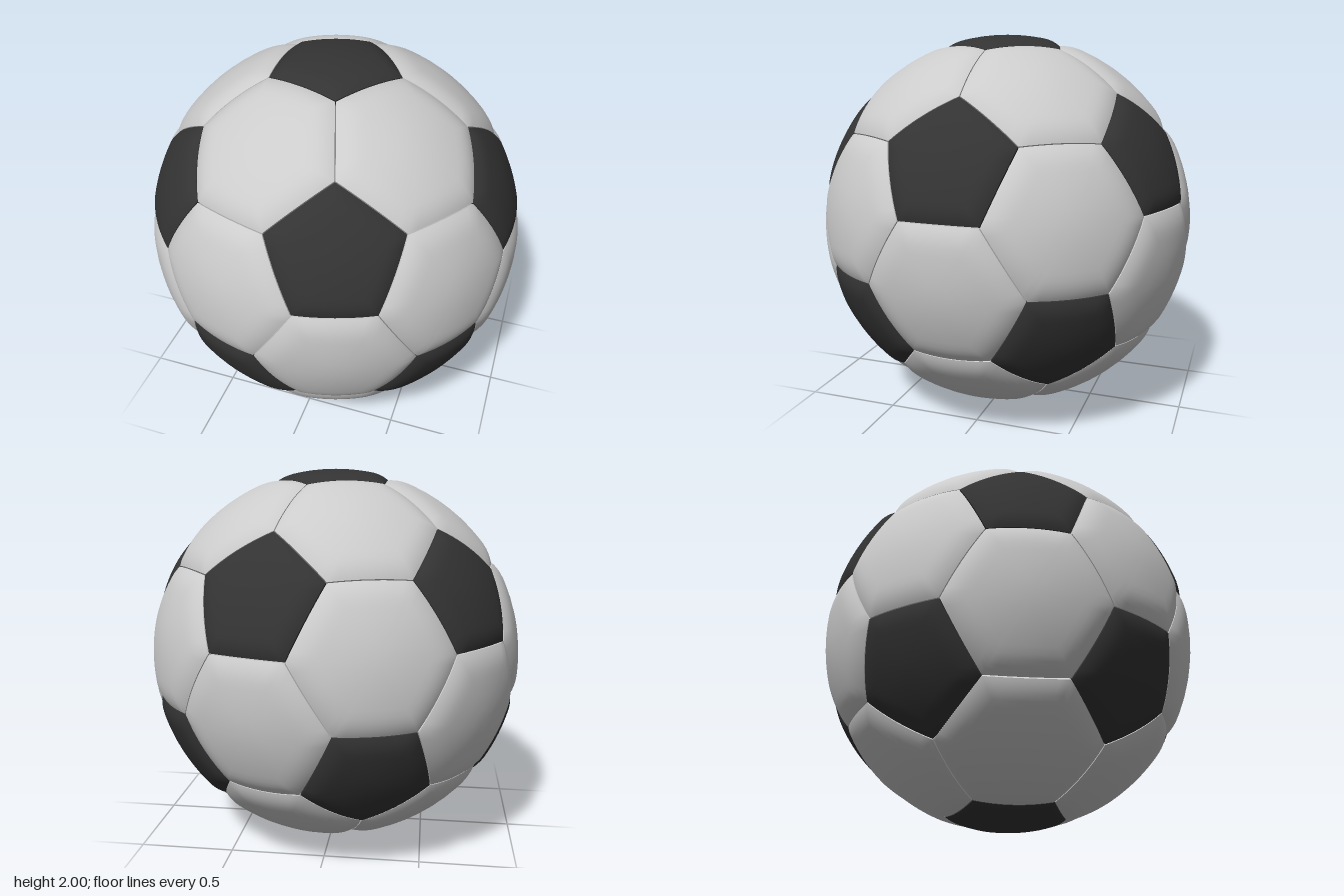
import * as THREE from 'three';
import { toCreasedNormals } from 'three/addons/utils/BufferGeometryUtils.js';

const SEGMENTS = 8;      // subdivisions along each panel side
const SEAM = 0.98;       // radius at the stitched edge
const RIM = 0.32;        // share of the panel that rounds down to the seam

// Rings from panel centre to rim, as fractions; the last one is the seam wall
const RINGS = [0, 0.2, 0.4, 0.6, 0.7, 0.78, 0.85, 0.91, 0.96, 0.992];

function panelRadius(t) {
  const k = Math.min((1 - t) / RIM, 1);
  return SEAM + (1 - SEAM) * (1 - (1 - k) ** 2);
}

// Cushioned panel on the sphere from a loop of corner points
function panelGeometry(corners) {
  const center = new THREE.Vector3();
  corners.forEach((c) => center.add(c));
  center.divideScalar(corners.length);
  const axis = center.clone().normalize();
  const u = corners[0].clone().sub(center).normalize();
  const v = axis.clone().cross(u);
  const angle = (p) => Math.atan2(p.clone().sub(center).dot(v), p.clone().sub(center).dot(u));
  const loop = [...corners].sort((a, b) => angle(a) - angle(b));

  // Outline split into short steps
  const outline = [];
  loop.forEach((a, i) => {
    const b = loop[(i + 1) % loop.length];
    for (let s = 0; s < SEGMENTS; s++) outline.push(a.clone().lerp(b, s / SEGMENTS));
  });

  const positions = [];
  const addRing = (t, radius) => outline.forEach((p) => {
    positions.push(...center.clone().lerp(p, t).setLength(radius).toArray());
  });
  RINGS.forEach((t) => addRing(t, panelRadius(t)));
  addRing(1, 0.94);

  const n = outline.length;
  const index = [];
  for (let r = 0; r < RINGS.length; r++) {
    for (let i = 0; i < n; i++) {
      const j = (i + 1) % n;
      const a = r * n + i, b = r * n + j, c = a + n, d = b + n;
      index.push(a, c, d);
      if (r > 0) index.push(a, d, b);
    }
  }
  const geometry = new THREE.BufferGeometry();
  geometry.setAttribute('position', new THREE.Float32BufferAttribute(positions, 3));
  geometry.setIndex(index);
  return toCreasedNormals(geometry, 0.7);
}

export function createModel() {
  const ball = new THREE.Group();
  ball.name = 'ball';
  const dark = new THREE.MeshStandardMaterial({ color: 0x333333 });
  const light = new THREE.MeshStandardMaterial({ color: 0xcccccc });

  // Icosahedron points: two poles and two staggered rings of five
  const points = [new THREE.Vector3(0, 1, 0), new THREE.Vector3(0, -1, 0)];
  const h = 1 / Math.sqrt(5);
  for (let i = 0; i < 10; i++) {
    const a = (i * Math.PI) / 5;
    points.push(new THREE.Vector3(2 * h * Math.cos(a), i % 2 ? -h : h, 2 * h * Math.sin(a)));
  }
  const adjacent = (a, b) => a !== b && a.dot(b) > 0.4;
  // Corner one third of the way from a to b
  const corner = (a, b) => a.clone().lerp(b, 1 / 3).normalize();

  const addPanel = (name, corners, material) => {
    const mesh = new THREE.Mesh(panelGeometry(corners), material);
    mesh.name = name;
    mesh.position.y = 1;
    ball.add(mesh);
  };

  // Dark pentagons, one around each point
  points.forEach((p) => {
    addPanel('pentagonPanel', points.filter((q) => adjacent(p, q)).map((q) => corner(p, q)), dark);
  });

  // Light hexagons, one on each triangle of neighbouring points
  for (let i = 0; i < 12; i++) for (let j = i + 1; j < 12; j++) for (let k = j + 1; k < 12; k++) {
    const [a, b, c] = [points[i], points[j], points[k]];
    if (!adjacent(a, b) || !adjacent(b, c) || !adjacent(a, c)) continue;
    addPanel('hexagonPanel', [[a, b], [b, a], [b, c], [c, b], [c, a], [a, c]].map(([p, q]) => corner(p, q)), light);
  }
  return ball;
}
